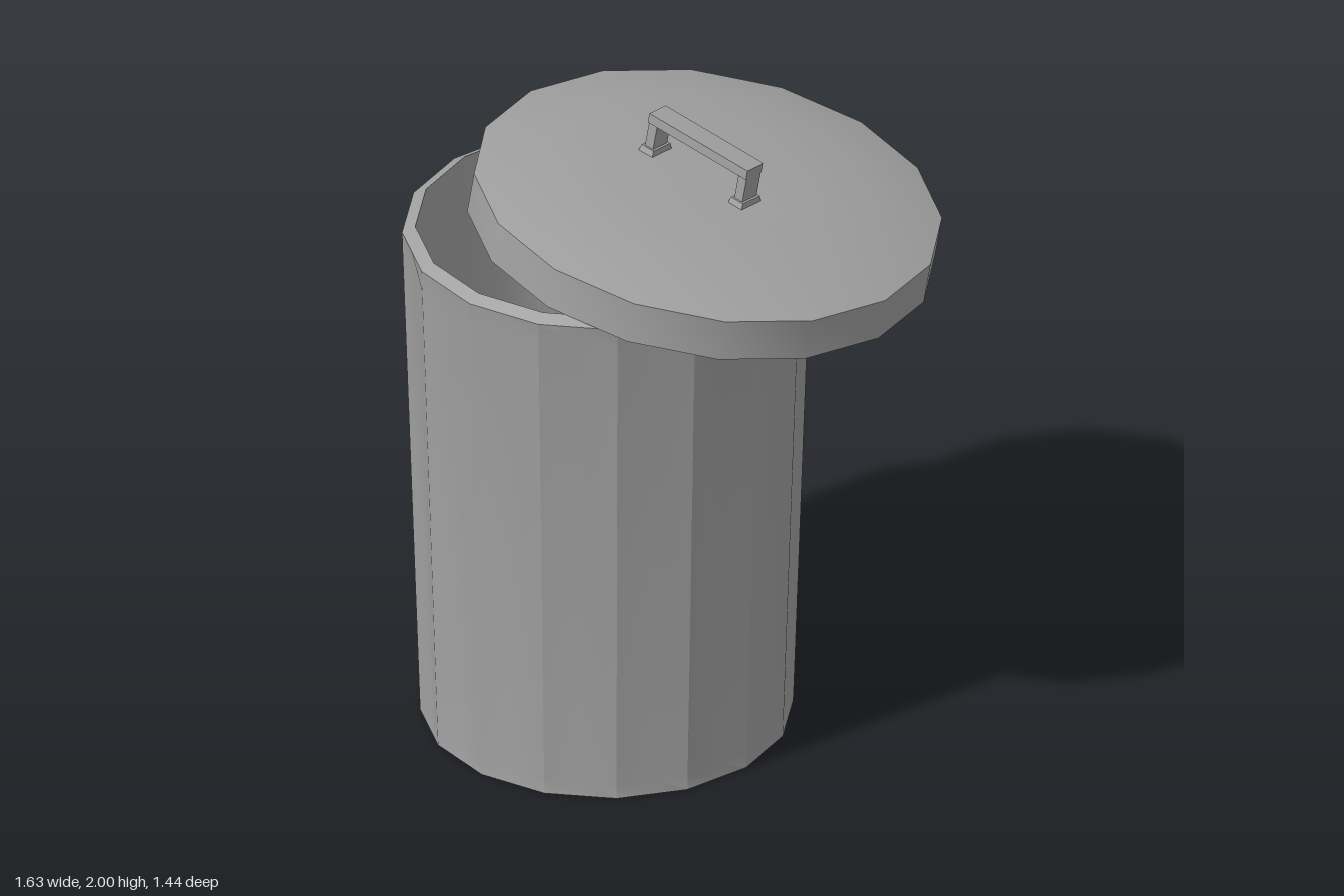
import * as THREE from 'three';
import { toCreasedNormals } from 'three/addons/utils/BufferGeometryUtils.js';

const SIDES = 16;
const COLOR = 0xa0a0a0;

function lathe(profile, segments = SIDES) {
  return new THREE.LatheGeometry(profile.map(([r, y]) => new THREE.Vector2(r, y)), segments);
}

// 16-sided lathe whose panels bow slightly inward; each profile point is [radius, y, bow]
function flutedLathe(profile) {
  const geometry = lathe(profile, SIDES * 2);
  const position = geometry.attributes.position;
  for (let i = 0; i < position.count; i++) {
    const column = Math.floor(i / profile.length);
    const [radius, y, bow = 0] = profile[i % profile.length];
    if (column % 2 === 0 || radius === 0) continue;
    const scale = Math.cos(Math.PI / SIDES) - bow / radius;
    position.setXYZ(i, position.getX(i) * scale, y, position.getZ(i) * scale);
  }
  return geometry;
}

export function createModel() {
  const model = new THREE.Group();
  model.name = 'trashCan';
  const flat = new THREE.MeshStandardMaterial({ color: COLOR, flatShading: true });
  const smooth = new THREE.MeshStandardMaterial({ color: COLOR });

  const add = (parent, name, geometry, material, x = 0, y = 0, z = 0) => {
    const mesh = new THREE.Mesh(geometry, material);
    mesh.name = name;
    mesh.position.set(x, y, z);
    parent.add(mesh);
    return mesh;
  };

  // Hollow tapered can: recessed underside, fluted wall, bevelled rim, inner wall and floor
  add(model, 'canBody', toCreasedNormals(flutedLathe([
    [0, 0.03], [0.535, 0.03], [0.54, 0], [0.565, 0], [0.567, 0.05, 0.01],
    [0.618, 1.6, 0.01], [0.62, 1.67], [0.58, 1.69], [0.52, 0.06], [0, 0.06],
  ]), 0.45), smooth, -0.195);

  // Lid resting askew on the can
  const lid = new THREE.Group();
  lid.name = 'lid';
  lid.position.set(0.09, 1.64, 0);
  lid.rotation.set(0.035, 0.02, -0.153);
  model.add(lid);

  // Shallow dome with a deep skirt, hollow underneath
  add(lid, 'lidShell', toCreasedNormals(lathe([
    [0, 0.11], [0.68, 0.1], [0.685, 0], [0.7175, 0],
    [0.7175, 0.135], [0.51, 0.19], [0.25, 0.199], [0, 0.202],
  ]), 0.5), smooth);

  // Handle set diagonally across the lid
  const handle = new THREE.Group();
  handle.name = 'handle';
  handle.position.set(-0.035, 0, -0.008);
  handle.rotation.y = -Math.PI / 4;
  lid.add(handle);

  add(handle, 'handleGrip', new THREE.BoxGeometry(0.395, 0.032, 0.076), flat, 0, 0.316, 0);
  for (const side of [-1, 1]) {
    add(handle, 'handleLeg', new THREE.BoxGeometry(0.032, 0.115, 0.066), flat, side * 0.18, 0.257, 0);
    // Foot flares out to meet the lid
    const foot = new THREE.CylinderGeometry(0.58, 0.7, 0.026, 4);
    foot.rotateY(Math.PI / 4);
    foot.scale(0.058, 1, 0.096);
    add(handle, 'handleFoot', foot, flat, side * 0.18, 0.205, 0);
  }

  return model;
}
